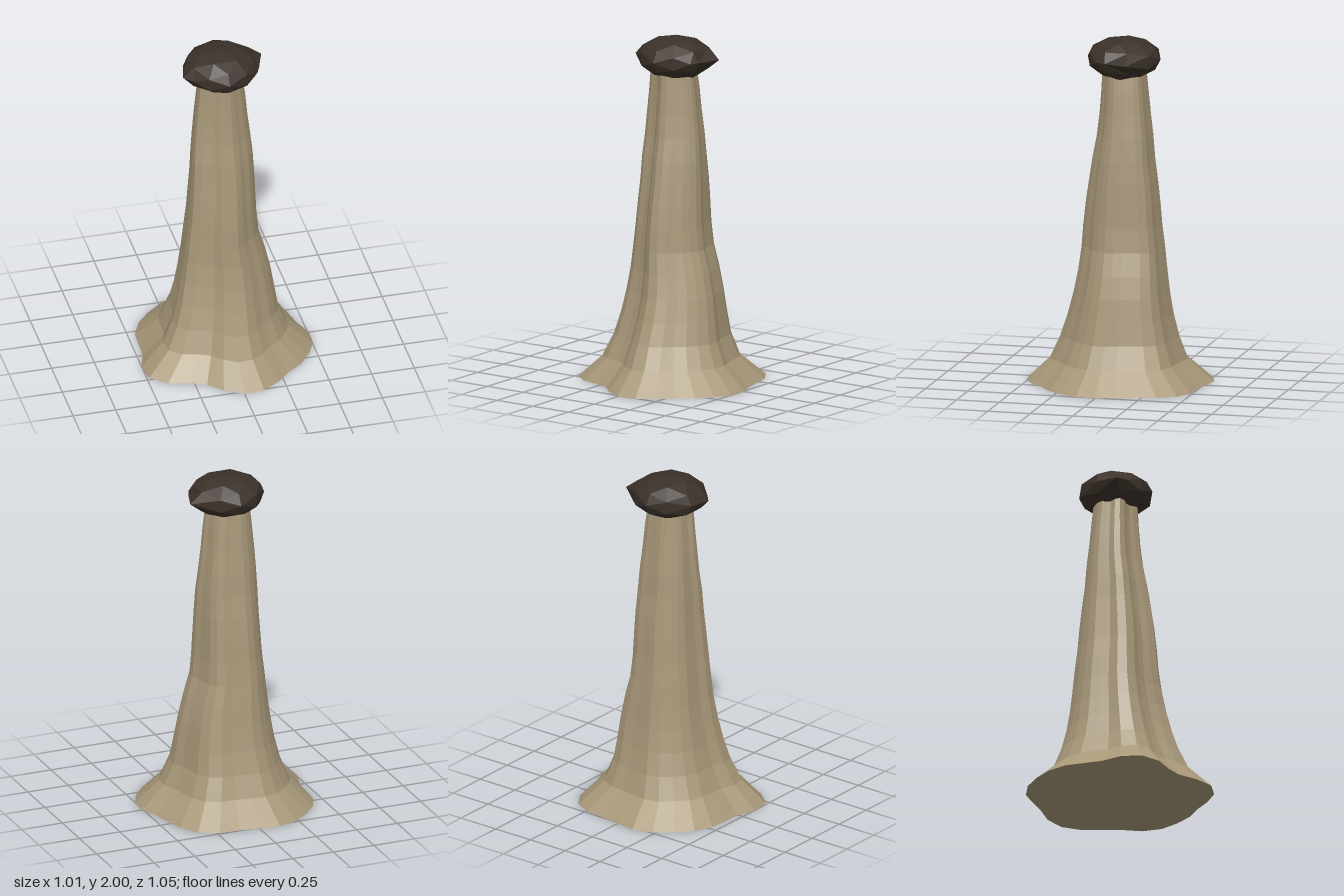
import * as THREE from 'three';

const barkMat = new THREE.MeshStandardMaterial({ color: 0xa89879, flatShading: true });
barkMat.name = 'pale tan';
const crownMat = new THREE.MeshStandardMaterial({ color: 0x3b3129, flatShading: true });
crownMat.name = 'dark brown';

// Radii of the lobed foot, evenly spaced in angle from the front (+z) towards +x
const FOOT = [0.525, 0.528, 0.499, 0.475, 0.491, 0.502, 0.517, 0.508, 0.477, 0.49,
  0.528, 0.554, 0.539, 0.507, 0.513, 0.543, 0.544, 0.531, 0.523, 0.506,
  0.474, 0.466, 0.517, 0.541, 0.504, 0.439, 0.424, 0.473];

// Extents of each ring, one every 0.13 up: [minX, maxX, minZ, maxZ]
const RINGS = [
  [-0.51, 0.51, -0.53, 0.525], [-0.375, 0.37, -0.385, 0.39], [-0.315, 0.315, -0.34, 0.33],
  [-0.28, 0.295, -0.31, 0.285], [-0.255, 0.275, -0.29, 0.25], [-0.235, 0.245, -0.275, 0.225],
  [-0.22, 0.207, -0.26, 0.21], [-0.205, 0.195, -0.245, 0.2], [-0.195, 0.19, -0.235, 0.185],
  [-0.185, 0.185, -0.222, 0.165], [-0.18, 0.178, -0.205, 0.145], [-0.17, 0.165, -0.195, 0.12],
  [-0.16, 0.15, -0.18, 0.105], [-0.147, 0.138, -0.168, 0.095], [-0.135, 0.12, -0.155, 0.09],
];

// Flared column: the foot outline scaled into each ring's extents
function columnGeometry() {
  const n = FOOT.length, pos = [], index = [];
  RINGS.forEach(([x0, x1, z0, z1], j) => {
    FOOT.forEach((r, i) => {
      const a = (i / n) * Math.PI * 2;
      pos.push(
        (x0 + x1) / 2 + Math.sin(a) * r * (x1 - x0) / 1.02,
        j * 0.13,
        (z0 + z1) / 2 + Math.cos(a) * r * (z1 - z0) / 1.055);
    });
  });
  for (let j = 0; j < RINGS.length - 1; j++) {
    for (let i = 0; i < n; i++) {
      const a = j * n + i, b = j * n + (i + 1) % n;
      index.push(a, b, b + n, a, b + n, a + n);
    }
  }
  // closing fans below and above
  const top = (RINGS.length - 1) * n, c = pos.length / 3;
  pos.push(0, 0, 0, -0.008, 1.82, -0.033);
  for (let i = 0; i < n; i++) {
    const k = (i + 1) % n;
    index.push(c, k, i, c + 1, top + i, top + k);
  }
  const g = new THREE.BufferGeometry();
  g.setAttribute('position', new THREE.Float32BufferAttribute(pos, 3));
  g.setIndex(index);
  g.computeVertexNormals();
  return g;
}

// Lumpy squashed rock: [direction, offset] pairs push single corners
const LUMPS = [
  [[0.85, 0, -0.53], [0.068, 0, 0.04]],
  [[1, 0, 0], [-0.01, 0, 0.06]],
  [[-1, 0, 0], [-0.015, 0, 0.06]],
  [[-0.85, 0, -0.53], [-0.02, 0, 0.054]],
  [[0.5, -0.81, -0.31], [0, -0.022, 0]],
  [[0.53, -0.85, 0], [0, -0.01, 0]],
  [[0, -1, 0], [0, 0.03, 0]],
  [[0.31, 0.5, -0.81], [0.03, 0.01, 0]],
  [[-0.31, 0.5, -0.81], [-0.03, 0.01, 0]],
  [[0.5, 0.81, -0.31], [0, 0.014, 0]],
  [[-0.5, -0.81, 0.31], [-0.01, 0.012, 0]],
];

function crownGeometry() {
  const g = new THREE.IcosahedronGeometry(1, 1);
  const p = g.attributes.position, v = new THREE.Vector3(), d = new THREE.Vector3();
  for (let i = 0; i < p.count; i++) {
    v.fromBufferAttribute(p, i);
    const lump = LUMPS.find(([dir]) => d.fromArray(dir).distanceTo(v) < 0.1);
    v.multiply(d.set(0.22, 0.12, 0.214));
    if (lump) v.add(d.fromArray(lump[1]));
    p.setXYZ(i, v.x, v.y, v.z);
  }
  g.computeVertexNormals();
  return g;
}

export function createModel() {
  const group = new THREE.Group();
  group.name = 'rockChimney';

  const column = new THREE.Mesh(columnGeometry(), barkMat);
  column.name = 'column';

  const crown = new THREE.Mesh(crownGeometry(), crownMat);
  crown.name = 'crown';
  crown.position.set(0, 1.88, -0.035);

  group.add(column, crown);
  return group;
}
